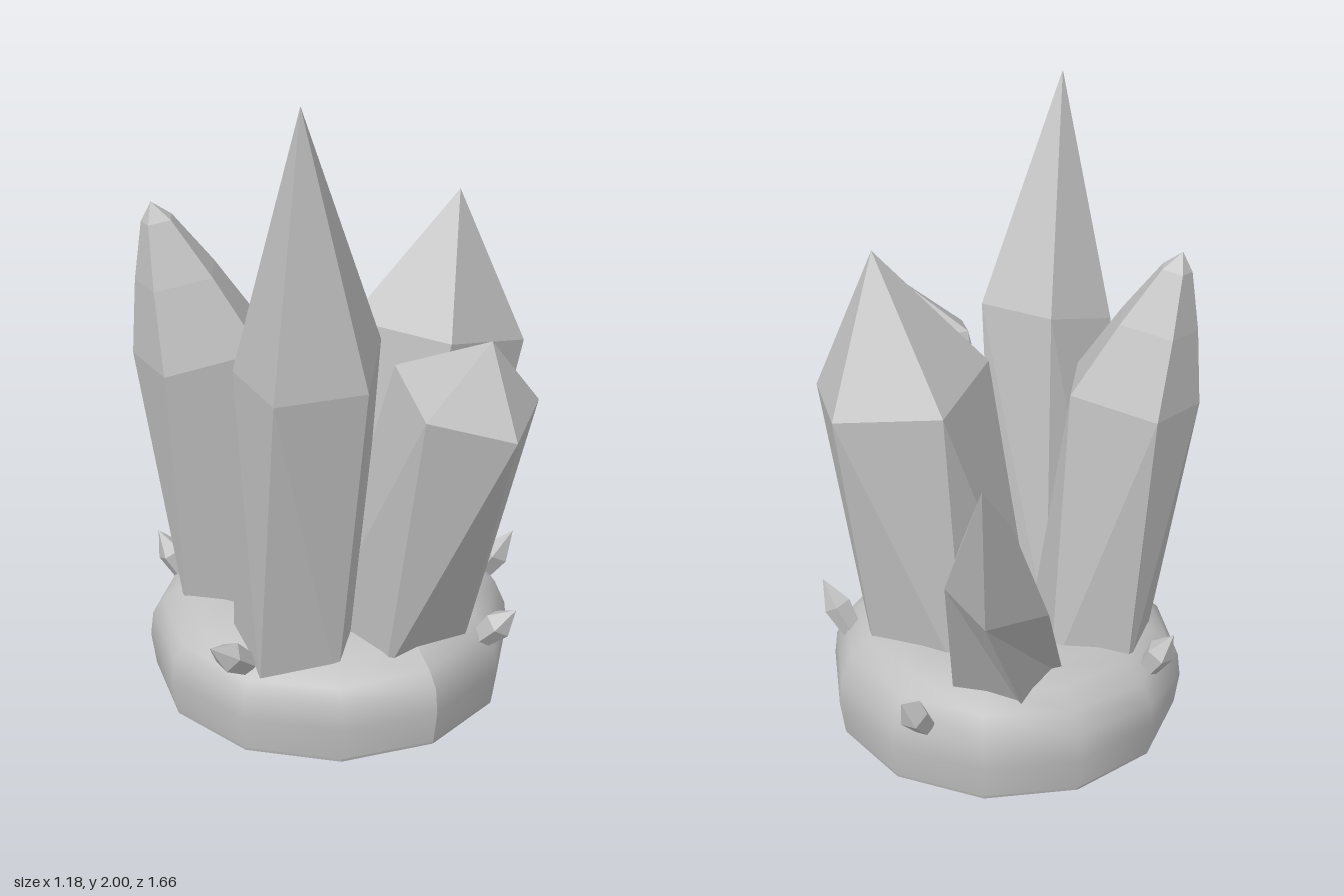
import * as THREE from 'three';

const stone = new THREE.MeshStandardMaterial({ color: 0xc0c0c0 });
stone.name = 'grey stone';
const crystalGrey = new THREE.MeshStandardMaterial({ color: 0xc0c0c0, flatShading: true });
crystalGrey.name = 'grey crystal';

const SIDES = 5;
const V = (p) => new THREE.Vector3(...p);

// Regular level ring, counterclockwise from above, first corner at the given angle
function regularRing(centre, radius, degrees) {
  return Array.from({ length: SIDES }, (_, i) => {
    const w = THREE.MathUtils.degToRad(degrees - (i * 360) / SIDES);
    return new THREE.Vector3(Math.cos(w) * radius, 0, Math.sin(w) * radius).add(centre);
  });
}

// Faceted shell through rings, closed by a tip
function facets(name, rings, tip) {
  const pos = [];
  const tri = (...pts) => pts.forEach((p) => pos.push(p.x, p.y, p.z));
  const top = rings[rings.length - 1];
  for (let i = 0; i < SIDES; i++) {
    const j = (i + 1) % SIDES;
    for (let r = 0; r < rings.length - 1; r++) {
      const lo = rings[r], hi = rings[r + 1];
      tri(lo[i], lo[j], hi[i]);
      tri(lo[j], hi[j], hi[i]);
    }
    tri(top[i], top[j], tip);
  }
  const geo = new THREE.BufferGeometry();
  geo.setAttribute('position', new THREE.Float32BufferAttribute(pos, 3));
  geo.computeVertexNormals();
  const mesh = new THREE.Mesh(geo, crystalGrey);
  mesh.name = name;
  return mesh;
}

// Large crystal: regular foot, tilted shoulder ring, tip;
// steps [t, scale] add rings between shoulder and tip
function crystal({ name, foot, radius, angle, shoulder, tip, steps = [] }) {
  const ring = shoulder.map(V), end = V(tip);
  const mid = ring.reduce((s, p) => s.add(p), new THREE.Vector3()).divideScalar(SIDES);
  const upper = steps.map(([t, s]) => ring.map((p) =>
    p.clone().sub(mid).multiplyScalar(s).add(mid.clone().lerp(end, t))));
  return facets(name, [regularRing(V(foot), radius, angle), ring, ...upper], end);
}

// Small shard growing out of the rock along a line
function shard(name, from, to) {
  const a = V(from), b = V(to);
  const turn = new THREE.Quaternion().setFromUnitVectors(
    new THREE.Vector3(0, 1, 0), b.clone().sub(a).normalize());
  const ring = (t, r) => regularRing(new THREE.Vector3(), r, 0)
    .map((p) => p.applyQuaternion(turn).add(a.clone().lerp(b, t)));
  return facets(name, [ring(0, 0.035), ring(0.5, 0.048)], b);
}

// Rounded rock with a flat underside and a slightly uneven top
function rockBase() {
  const group = new THREE.Group();
  group.name = 'rockBase';
  const profile = [[0.575, 0.01], [0.59, 0.12], [0.58, 0.2], [0.545, 0.265],
    [0.48, 0.315], [0.38, 0.34], [0.2, 0.345], [0, 0.345]];
  const geo = new THREE.LatheGeometry(profile.map(([r, y]) => new THREE.Vector2(r, y)), 12);
  const p = geo.attributes.position;
  for (let i = 0; i < p.count; i++) {
    const x = p.getX(i), z = p.getZ(i), y = p.getY(i);
    if (y > 0.25) p.setY(i, y + 0.05 * x - 0.03 * z);
  }
  geo.computeVertexNormals();
  const rock = new THREE.Mesh(geo, stone);
  rock.name = 'rock';
  const under = new THREE.Mesh(new THREE.CylinderGeometry(0.575, 0.572, 0.012, 12), crystalGrey);
  under.position.y = 0.006;
  under.name = 'rockUnderside';
  group.add(rock, under);
  group.position.z = 0.05;
  return group;
}

const CRYSTALS = [
  { name: 'tallCrystal', foot: [-0.26, 0.2, 0.25], radius: 0.2, angle: 11, tip: [-0.41, 2, 0.53],
    shoulder: [[-0.08, 1.28, 0.43], [-0.23, 1.28, 0.21],
      [-0.48, 1.22, 0.28], [-0.5, 1.2, 0.53], [-0.26, 1.22, 0.63]] },
  { name: 'frontCrystal', foot: [0.05, 0.22, 0.3], radius: 0.25, angle: 54, tip: [0.12, 1.31, 0.68],
    shoulder: [[0.31, 1.09, 0.67], [0.23, 1.18, 0.43],
      [-0.03, 1.19, 0.43], [-0.11, 1.12, 0.69], [0.1, 1.06, 0.83]] },
  { name: 'leftCrystal', foot: [0.17, 0.22, 0.09], radius: 0.28, angle: -4, tip: [0.37, 1.6, 0.2],
    shoulder: [[0.57, 1.14, 0.03], [0.28, 1.17, -0.14],
      [0.03, 1.22, 0.11], [0.19, 1.2, 0.41], [0.52, 1.13, 0.35]] },
  { name: 'leaningBackCrystal', foot: [0.12, 0.26, -0.21], radius: 0.195, angle: -15, tip: [0.44, 1.3, -0.83],
    shoulder: [[0.43, 0.84, -0.52], [0.36, 0.76, -0.65], [0.17, 0.77, -0.66],
      [0.18, 0.93, -0.42], [0.33, 0.92, -0.41]] },
  { name: 'bluntCrystal', foot: [-0.22, 0.22, -0.12], radius: 0.21, angle: 42, tip: [-0.48, 1.6, -0.18],
    steps: [[0.5, 0.6], [0.88, 0.23]],
    shoulder: [[-0.13, 1.18, -0.15], [-0.33, 1.13, -0.34], [-0.53, 1.12, -0.24],
      [-0.55, 1.12, 0], [-0.27, 1.17, 0.09]] },
];

const SHARDS = [
  [[-0.45, 0.26, 0.28], [-0.59, 0.37, 0.3]],
  [[0.48, 0.27, 0.23], [0.55, 0.44, 0.31]],
  [[0.26, 0.24, 0.52], [0.32, 0.36, 0.61]],
  [[0.42, 0.22, -0.3], [0.51, 0.35, -0.34]],
  [[-0.33, 0.25, -0.34], [-0.39, 0.4, -0.4]],
];

export function createModel() {
  const model = new THREE.Group();
  model.name = 'crystalCluster';
  model.add(rockBase());
  CRYSTALS.forEach((c) => model.add(crystal(c)));
  SHARDS.forEach(([a, b], i) => model.add(shard(`smallShard${i + 1}`, a, b)));
  return model;
}
